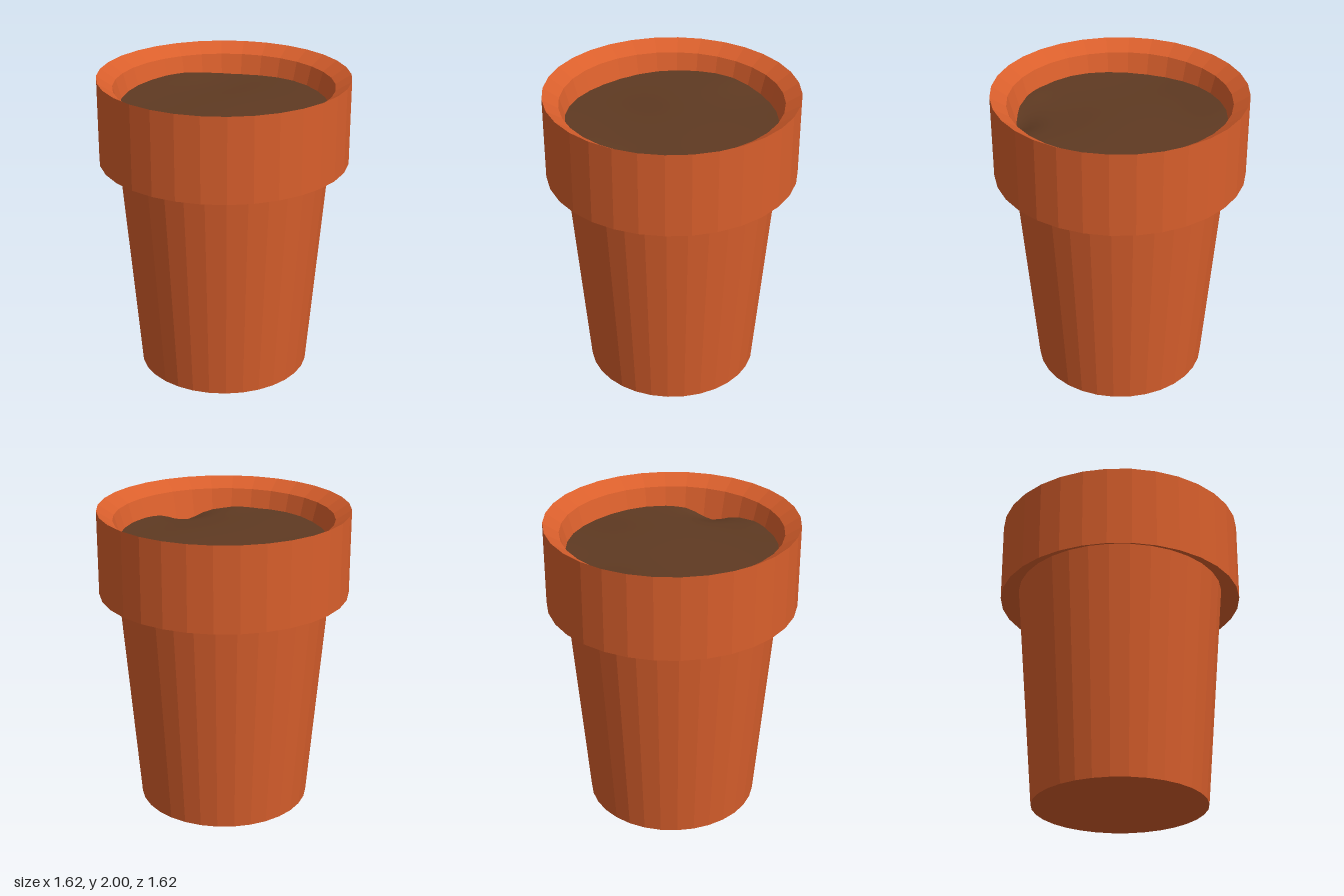
import * as THREE from 'three';

const SIDES = 32;

// Faceted surface of revolution from [radius, height] pairs
function turned(name, profile, material) {
  const points = profile.map(([r, y]) => new THREE.Vector2(r, y));
  const mesh = new THREE.Mesh(new THREE.LatheGeometry(points, SIDES), material);
  mesh.name = name;
  return mesh;
}

// Soft mound or hollow centred on (cx, cz)
const bump = (x, z, cx, cz, width, height) =>
  height * Math.exp(-((x - cx) ** 2 + (z - cz) ** 2) / (width * width));

const soilHeight = (x, z) =>
  1.81
  + 0.01 * Math.sin(4 * x + 1) * Math.cos(5 * z)
  + bump(x, z, -0.14, -0.66, 0.25, 0.02)
  + bump(x, z, 0.2, 0.64, 0.13, -0.06)
  + bump(x, z, -0.17, 0.64, 0.1, 0.01);

export function createModel() {
  const group = new THREE.Group();
  const clay = new THREE.MeshStandardMaterial({ color: 0xd95f2c, flatShading: true });
  const earth = new THREE.MeshStandardMaterial({ color: 0x5f3a22 });

  // Tapered body with a closed base
  group.add(turned('potBody', [[0, 0], [0.565, 0], [0.69, 1.515]], clay));

  // Overhanging rim: hollowed underside, straight band, inward bevel, inner wall
  group.add(turned('rim', [
    [0.69, 1.515], [0.81, 1.45], [0.81, 2], [0.71, 1.935], [0.61, 1.58],
  ], clay));

  // Uneven soil, running just past the inner wall
  const soilGeometry = new THREE.RingGeometry(0.001, 0.7, 64, 16).rotateX(-Math.PI / 2);
  const p = soilGeometry.attributes.position;
  for (let i = 0; i < p.count; i++) p.setY(i, soilHeight(p.getX(i), p.getZ(i)));
  soilGeometry.computeVertexNormals();
  const soil = new THREE.Mesh(soilGeometry, earth);
  soil.name = 'soil';
  group.add(soil);

  return group;
}
